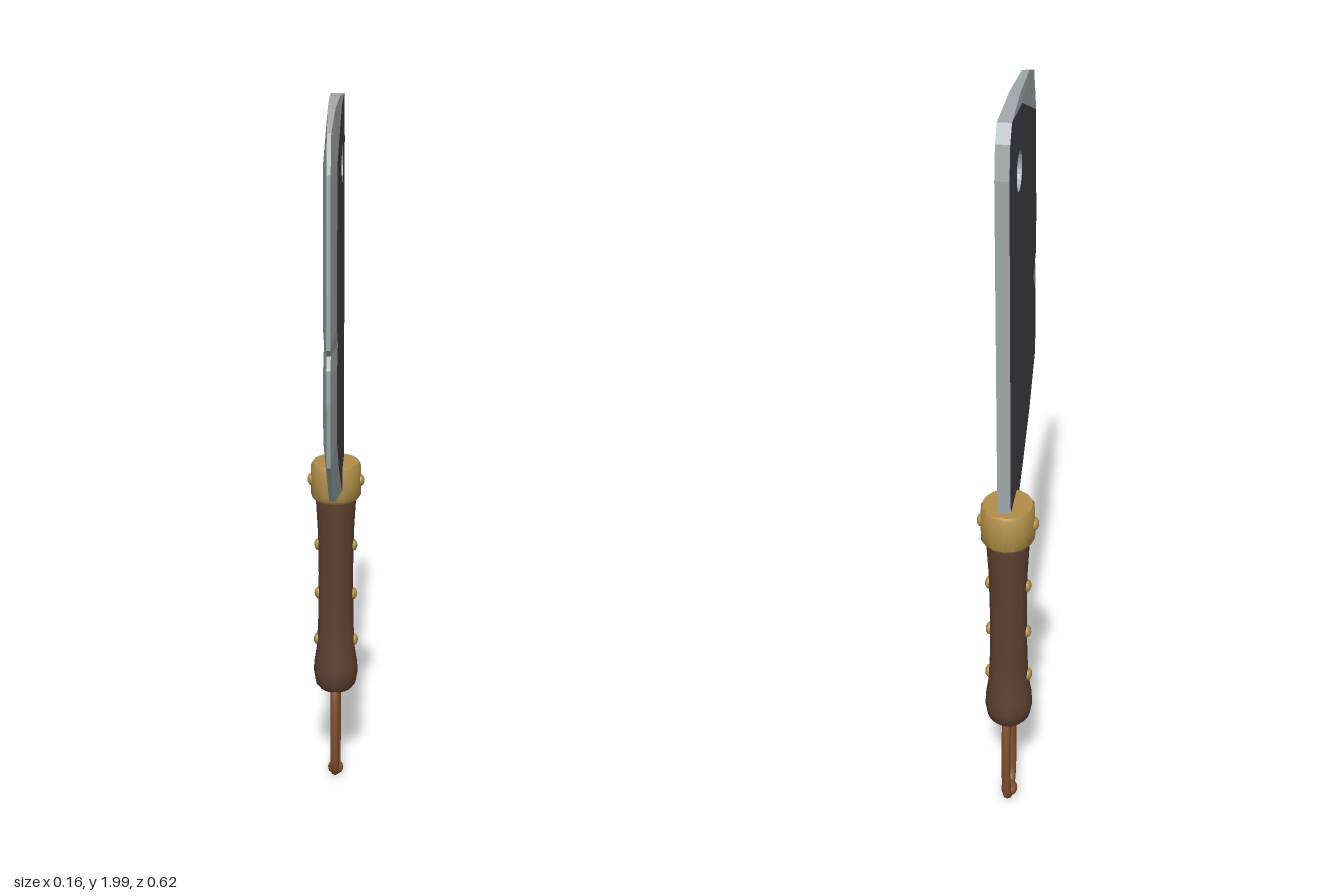
import * as THREE from 'three';
import { toCreasedNormals } from 'three/addons/utils/BufferGeometryUtils.js';

const mat = (color) => new THREE.MeshStandardMaterial({ color });
const HANDLE_Z = -0.235;
const HALF = 0.017; // half the plate thickness

// Rim from the spine tip round to the heel: outer z, outer y, inner z, inner y, half edge thickness
const RIM = [
  [-0.235, 1.99, -0.235, 1.99, HALF], [-0.06, 2.0, -0.06, 1.975, 0.013],
  [0.13, 1.99, 0.09, 1.915, 0.009], [0.26, 1.95, 0.2, 1.87, 0.005],
  [0.295, 1.86, 0.205, 1.8, 0.005], [0.31, 1.58, 0.22, 1.6, 0.005],
  [0.307, 1.45, 0.22, 1.485, 0.005], [0.285, 1.43, 0.165, 1.43, 0.005],
  [0.31, 1.4, 0.215, 1.37, 0.005], [0.31, 1.32, 0.22, 1.29, 0.005],
  [0.292, 1.15, 0.207, 1.19, 0.005], [0.155, 1.015, 0.085, 1.08, 0.005],
  [-0.005, 0.955, -0.03, 1.005, 0.005], [-0.16, 0.93, -0.16, 0.93, HALF],
];

// Turn the drawing plane into the z-y plane and give the blade its slight lean
function placeBlade(geo) {
  geo.rotateY(-Math.PI / 2);
  const p = geo.attributes.position;
  for (let i = 0; i < p.count; i++) p.setX(i, p.getX(i) + 0.0055 + 0.009 * p.getZ(i));
  geo.computeVertexNormals();
  return geo;
}

function plateGeometry() {
  const pts = [[-0.2, 0.9], [-0.28, 0.9], [-0.28, 1.87], [-0.265, 1.95], ...RIM.map((r) => [r[2], r[3]])];
  const shape = new THREE.Shape(pts.map(([z, y]) => new THREE.Vector2(z, y)));
  shape.holes.push(new THREE.Path().absarc(-0.11, 1.83, 0.048, 0, Math.PI * 2));
  const geo = new THREE.ExtrudeGeometry(shape, { depth: 2 * HALF, bevelEnabled: false, curveSegments: 12 });
  return placeBlade(geo.translate(0, 0, -HALF));
}

function bevelGeometry() {
  const pos = [];
  const quad = (a, b, c, d) => pos.push(...a, ...b, ...c, ...a, ...c, ...d);
  const inner = (r, s) => [r[2], r[3], s * HALF];
  const outer = (r, s) => [r[0], r[1], s * r[4]];
  for (let i = 0; i < RIM.length - 1; i++) {
    const a = RIM[i], b = RIM[i + 1];
    quad(inner(a, 1), inner(b, 1), outer(b, 1), outer(a, 1));
    quad(outer(a, -1), outer(b, -1), inner(b, -1), inner(a, -1));
    quad(outer(a, 1), outer(b, 1), outer(b, -1), outer(a, -1));
  }
  const geo = new THREE.BufferGeometry();
  geo.setAttribute('position', new THREE.Float32BufferAttribute(pos, 3));
  return placeBlade(geo);
}

// Slightly oval turned part around the handle axis
function turned(profile, segments) {
  const geo = new THREE.LatheGeometry(profile.map(([r, y]) => new THREE.Vector2(r, y)), segments);
  return toCreasedNormals(geo.scale(1, 1, 1.09), 0.75).translate(0, 0, HANDLE_Z);
}

export function createModel() {
  const group = new THREE.Group();
  const dark = mat(0x45454c), steel = mat(0x9ea7aa), brass = mat(0xb08d48);
  const wood = mat(0x5e4030), copper = mat(0x83502f);
  const add = (name, geo, material) => {
    const mesh = new THREE.Mesh(geo, material);
    mesh.name = name;
    group.add(mesh);
    return mesh;
  };

  // Blade
  add('bladePlate', plateGeometry(), [dark, steel]);
  add('bladeBevel', bevelGeometry(), steel);

  // Grip and collar
  add('grip', turned([
    [0, 0.295], [0.048, 0.297], [0.058, 0.31], [0.064, 0.345], [0.062, 0.375], [0.055, 0.42],
    [0.051, 0.5], [0.049, 0.65], [0.051, 0.78], [0.056, 0.87], [0.056, 0.9],
  ], 20), wood);
  add('collar', turned([
    [0, 0.883], [0.062, 0.883], [0.07, 0.893], [0.071, 0.93], [0.069, 0.982], [0.064, 0.99], [0, 0.99],
  ], 16), brass);

  // Rivets on both sides
  for (const side of [-1, 1]) {
    for (const [y, x] of [[0.445, 0.053], [0.59, 0.05], [0.74, 0.05], [0.935, 0.069]]) {
      const rivet = add('rivet', new THREE.SphereGeometry(0.017, 12, 8), brass);
      rivet.scale.x = 0.65;
      rivet.position.set(side * x, y, HANDLE_Z);
    }
  }

  // Hanging loop with its knot
  const half = [[0.035, 0.32], [0.05, 0.275], [0.059, 0.2], [0.057, 0.11], [0.045, 0.045], [0.022, 0.022]];
  const path = [...half, [0, 0.018], ...half.map(([z, y]) => [-z, y]).reverse()];
  const curve = new THREE.CatmullRomCurve3(path.map(([z, y]) => new THREE.Vector3(0, y, HANDLE_Z + z)));
  add('hangingLoop', new THREE.TubeGeometry(curve, 48, 0.0125, 8), copper);
  const knot = add('loopKnot', new THREE.SphereGeometry(0.023, 12, 8), copper);
  knot.scale.set(1, 0.8, 1.25);
  knot.position.set(0, 0.024, HANDLE_Z);

  return group;
}
